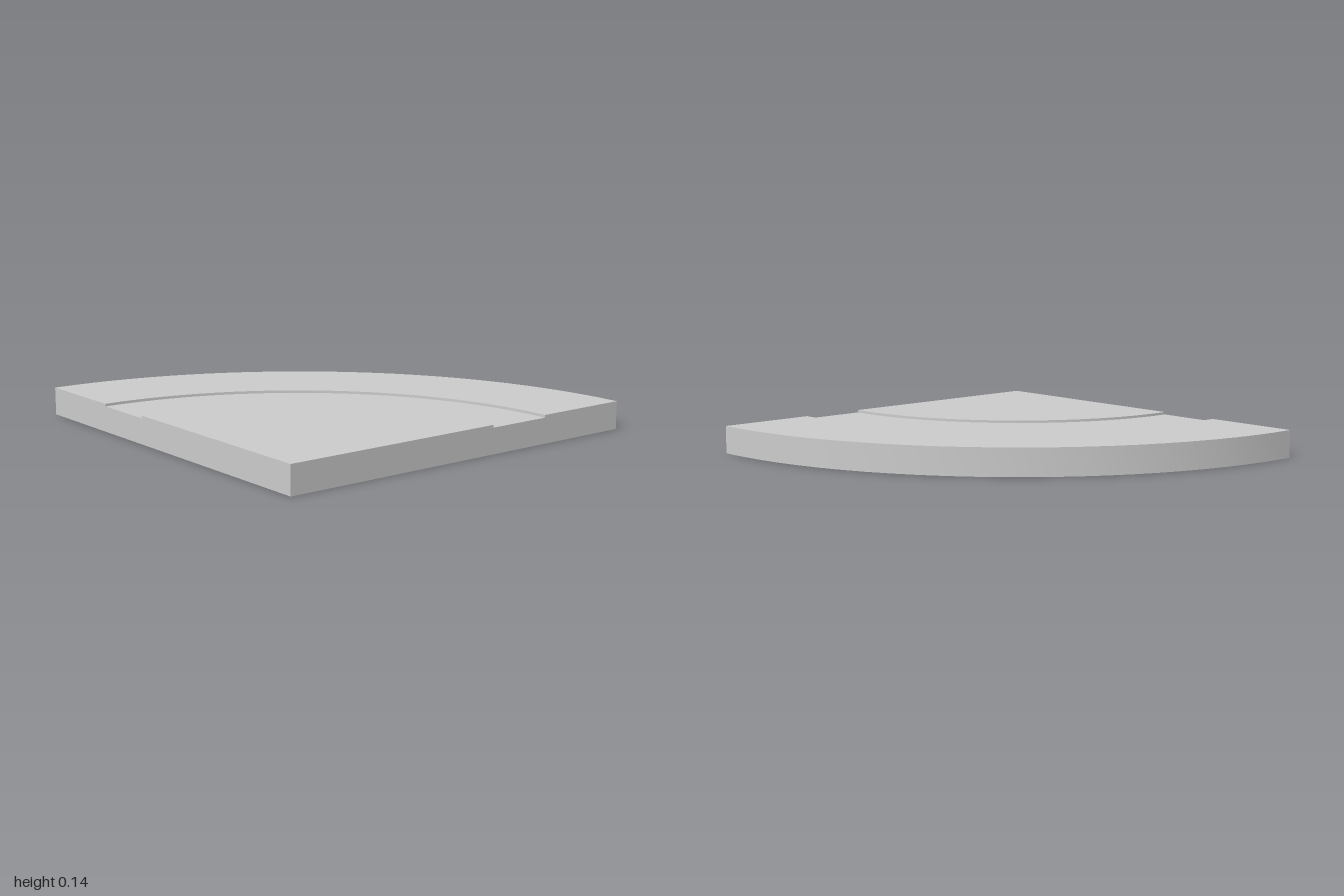
import * as THREE from 'three';
import { toCreasedNormals } from 'three/addons/utils/BufferGeometryUtils.js';

const HEIGHT = 0.14, FLOOR = 0.127;
const RADIUS = 2, GROOVE_IN = 1.165, GROOVE_OUT = 1.5;

// Cross-section as [radius, height], from the underside centre round to the top centre
const profile = [
  [0, 0], [RADIUS, 0], [RADIUS, HEIGHT],
  [GROOVE_OUT, HEIGHT], [GROOVE_OUT, FLOOR],
  [GROOVE_IN, FLOOR], [GROOVE_IN, HEIGHT], [0, HEIGHT],
];

export function createModel() {
  const group = new THREE.Group();
  group.name = 'quarterDiscTile';
  const material = new THREE.MeshStandardMaterial({ color: 0xcccccc });

  function add(name, geometry) {
    const mesh = new THREE.Mesh(geometry, material);
    mesh.name = name;
    mesh.position.set(-1, 0, 1); // corner of the quarter circle
    group.add(mesh);
    return mesh;
  }

  // Flat cut face; side = -1 mirrors the section
  const section = (side) => new THREE.ShapeGeometry(
    new THREE.Shape(profile.map(([r, y]) => new THREE.Vector2(side * r, y))));

  // Slab with a shallow curved channel in its top
  const points = profile.map(([r, y]) => new THREE.Vector2(r, y));
  const slab = new THREE.LatheGeometry(points, 24, Math.PI / 2, Math.PI / 2);
  add('slabWithChannel', toCreasedNormals(slab, Math.PI / 6));

  // Straight cut faces
  add('frontFace', section(1));
  add('sideFace', section(-1)).rotation.y = -Math.PI / 2;

  return group;
}
